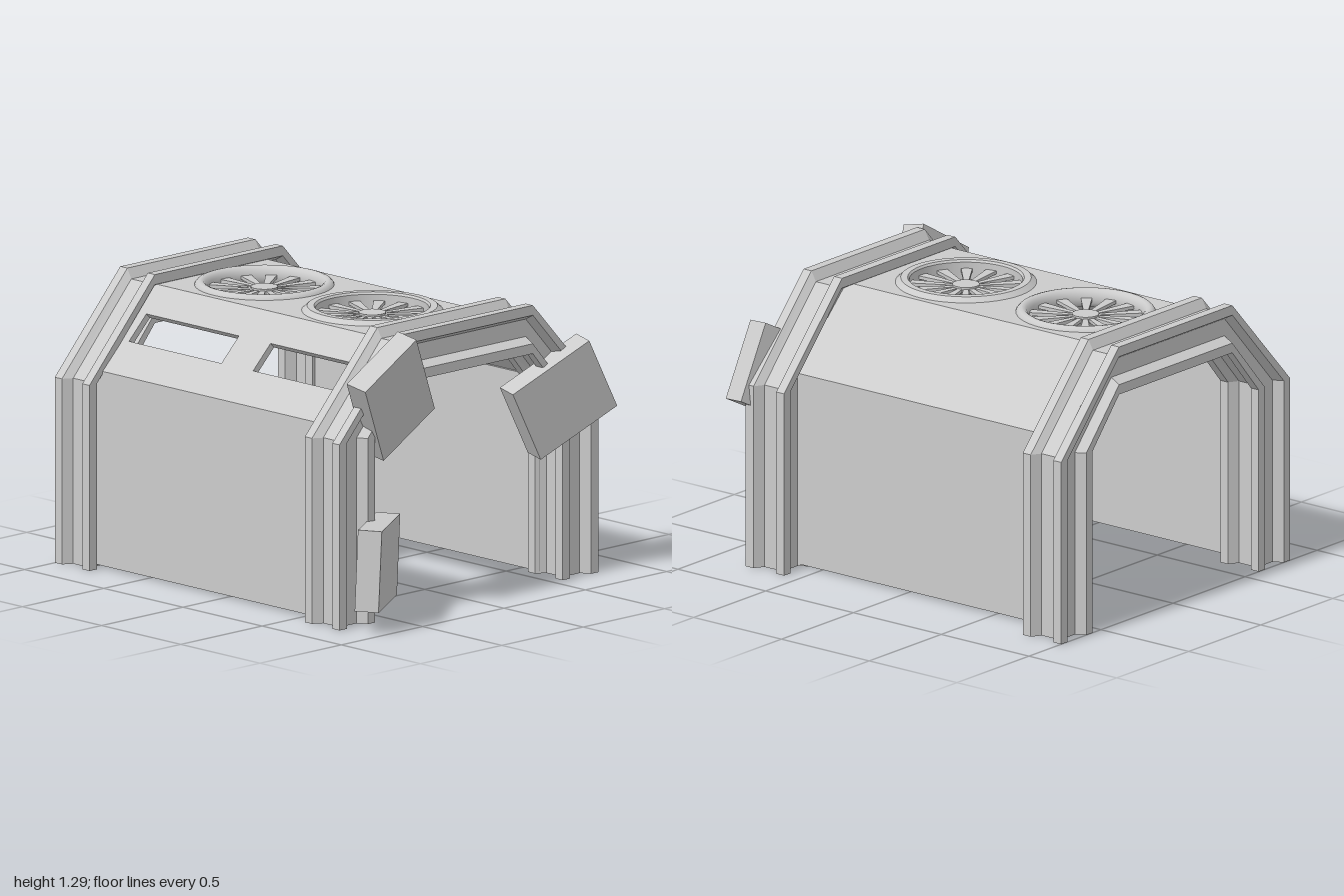
import * as THREE from 'three';

const mat = new THREE.MeshStandardMaterial({ color: 0xcccccc, side: THREE.DoubleSide });
const flat = new THREE.MeshStandardMaterial({ color: 0xcccccc, flatShading: true });
const mesh = (name, geo, m = mat) => {
  const o = new THREE.Mesh(geo, m);
  o.name = name;
  return o;
};

// Square bar section with a tapered groove along each of its four sides
function grooveSection(W, lip, floor, depth) {
  const pts = [];
  let side = [[0, 0], [lip, 0], [floor, depth], [W - floor, depth], [W - lip, 0]];
  for (let k = 0; k < 4; k++) {
    pts.push(...side.map(([p, q]) => new THREE.Vector2(p, q)));
    side = side.map(([p, q]) => [W - q, p]);
  }
  return pts;
}

// Arched rib: the section swept up one leg, over the top and down the other
function archRib(z0) {
  const cx = -0.019, leg = 0.795, crown = 0.393, shoulder = 0.84, top = 1.275;
  const sec = grooveSection(0.219, 0.045, 0.07, 0.045);
  const stations = [
    u => [cx - leg + u, 0],
    u => [cx - leg + u, shoulder],
    u => [cx - crown, top - u],
    u => [cx + crown, top - u],
    u => [cx + leg - u, shoulder],
    u => [cx + leg - u, 0],
  ];
  const at = (i, k) => {
    const s = sec[i % sec.length];
    return [...stations[k](s.x), z0 + s.y];
  };
  const pos = [];
  const tri = (...corners) => corners.forEach(c => pos.push(...c));
  for (let k = 0; k < stations.length - 1; k++) {
    for (let i = 0; i < sec.length; i++) {
      tri(at(i, k), at(i + 1, k + 1), at(i + 1, k));
      tri(at(i, k), at(i, k + 1), at(i + 1, k + 1));
    }
  }
  // feet
  for (const [a, b, c] of THREE.ShapeUtils.triangulateShape(sec, [])) {
    tri(at(a, 0), at(b, 0), at(c, 0));
    tri(at(a, 5), at(c, 5), at(b, 5));
  }
  const geo = new THREE.BufferGeometry();
  geo.setAttribute('position', new THREE.Float32BufferAttribute(pos, 3));
  geo.computeVertexNormals();
  return geo;
}

const rectPoints = (u0, z0, u1, z1) =>
  [[u0, -z0], [u1, -z0], [u1, -z1], [u0, -z1]].map(p => new THREE.Vector2(...p));

// Flat shell panel from point a to point b, running along z into both ribs
const FRONT = 0.635, BACK = -0.84;
function panel(name, a, b, thick, holes = []) {
  const dx = b[0] - a[0], dy = b[1] - a[1];
  const shape = new THREE.Shape(rectPoints(0, FRONT, Math.hypot(dx, dy), BACK));
  shape.holes.push(...holes);
  const geo = new THREE.ExtrudeGeometry(shape, { depth: thick, bevelEnabled: false, curveSegments: 32 });
  geo.rotateX(-Math.PI / 2).translate(0, -thick, 0);
  const p = mesh(name, geo);
  p.position.set(a[0], a[1], 0);
  p.rotation.z = Math.atan2(dy, dx);
  return p;
}

// Roof fan: rim, tapered blades and hub
const BLADES = 14;
function fan(name, z, rimProfile) {
  const g = new THREE.Group();
  g.name = name;
  g.add(mesh('fanRim', new THREE.LatheGeometry(rimProfile, 48)));
  g.add(mesh('fanHub', new THREE.CylinderGeometry(0.06, 0.06, 0.03, 24)));

  const blade = new THREE.Shape([[0.05, -0.01], [0.26, -0.026], [0.26, 0.026], [0.05, 0.01]]
    .map(p => new THREE.Vector2(...p)));
  const bladeGeo = new THREE.ExtrudeGeometry(blade, { depth: 0.015, bevelEnabled: false });
  bladeGeo.rotateX(-Math.PI / 2).translate(0, -0.008, 0);
  for (let i = 0; i < BLADES; i++) {
    const b = mesh('fanBlade', bladeGeo);
    b.rotation.y = Math.PI / 2 + i * Math.PI * 2 / BLADES;
    g.add(b);
  }
  g.position.set(-0.053, 1.203, z);
  return g;
}

// Tilted plate, hinged on its outer edge: angle turns it in the front plane, tilt sinks its far edge
function plate(name, x, y, z, angle, tilt) {
  const g = new THREE.Group();
  g.name = name;
  const geo = new THREE.BoxGeometry(0.435, 0.365, 0.107).translate(0.2175, 0, -0.0535);
  const m = mesh('plateBlock', geo, flat);
  m.rotation.y = THREE.MathUtils.degToRad(tilt);
  g.add(m);
  g.position.set(x, y, z);
  g.rotation.z = THREE.MathUtils.degToRad(angle);
  return g;
}

export function createModel() {
  const model = new THREE.Group();
  model.name = 'archedTunnel';

  // Ribs at both ends
  model.add(mesh('frontRib', archRib(0.579), flat), mesh('backRib', archRib(-1), flat));

  // Shell panels, going round from the right wall to the left wall
  const fanZ = [0.223, -0.459];
  const outline = [[-0.733, 0.01], [-0.733, 0.89], [-0.393, 1.227], [0.287, 1.227], [0.627, 0.89], [0.627, 0.01]];
  const names = ['rightWall', 'rightSlope', 'roof', 'leftSlope', 'leftWall'];
  const thickness = [0.055, 0.03, 0.03, 0.03, 0.055];
  const windows = [[-0.158, -0.742], [0.625, 0.042]]
    .map(([z0, z1]) => new THREE.Path(rectPoints(0.174, z0, 0.325, z1)));
  const fanHoles = fanZ.map(z => new THREE.Path().absarc(0.34, -z, 0.27, 0, Math.PI * 2));
  const holes = { rightSlope: windows, roof: fanHoles };
  names.forEach((n, i) => model.add(panel(n, outline[i], outline[i + 1], thickness[i], holes[n])));

  // Fans: chamfered rim in front, rounded rim behind
  const chamfered = [[0.25, -0.045], [0.25, 0.035], [0.25, 0.035], [0.257, 0.045], [0.257, 0.045], [0.288, 0.045],
    [0.288, 0.045], [0.314, 0.022], [0.314, 0.022], [0.314, -0.03], [0.295, -0.045], [0.25, -0.045]]
    .map(p => new THREE.Vector2(...p));
  const rounded = [];
  for (let i = 0; i <= 16; i++) {
    const t = -i * Math.PI / 8;
    rounded.push(new THREE.Vector2(0.282 + 0.032 * Math.cos(t), 0.045 * Math.sin(t)));
  }
  model.add(fan('frontFan', fanZ[0], chamfered), fan('backFan', fanZ[1], rounded));

  // Loose plates on the front rib
  model.add(
    plate('upperRightPlate', -0.583, 1.173, 0.885, -59.4, 14),
    plate('upperLeftPlate', 0.72, 0.925, 0.887, -152, 13),
    plate('lowerRightPlate', -0.76, 0.288, 0.999, -3.2, 35),
  );
  return model;
}
